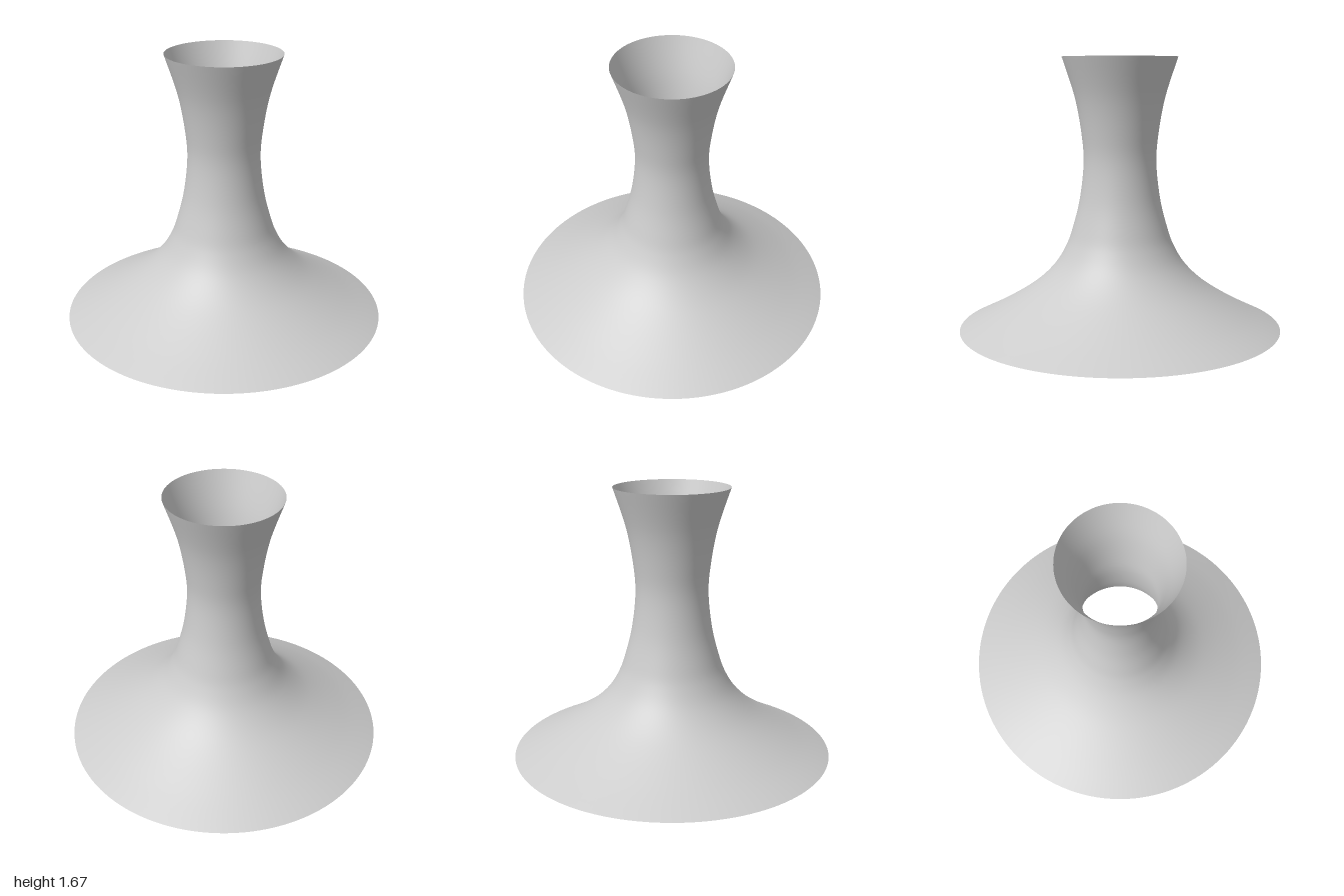
import * as THREE from 'three';

export function createModel() {
  const group = new THREE.Group();
  group.name = 'flaredTube';

  // Half outline from the wide foot, through the narrow waist, to the open rim
  const outline = new THREE.SplineCurve([
    [1, 0], [0.81, 0.095], [0.63, 0.2], [0.5, 0.295], [0.4, 0.4], [0.335, 0.51],
    [0.295, 0.62], [0.25, 0.8], [0.225, 1.02], [0.236, 1.2], [0.277, 1.43], [0.355, 1.675],
  ].map(([r, y]) => new THREE.Vector2(r, y)));

  // Thin shell, open at both ends
  const shell = new THREE.Mesh(
    new THREE.LatheGeometry(outline.getPoints(64), 128),
    new THREE.MeshStandardMaterial({ color: 0xcccccc, side: THREE.DoubleSide })
  );
  shell.name = 'shell';
  group.add(shell);
  return group;
}
